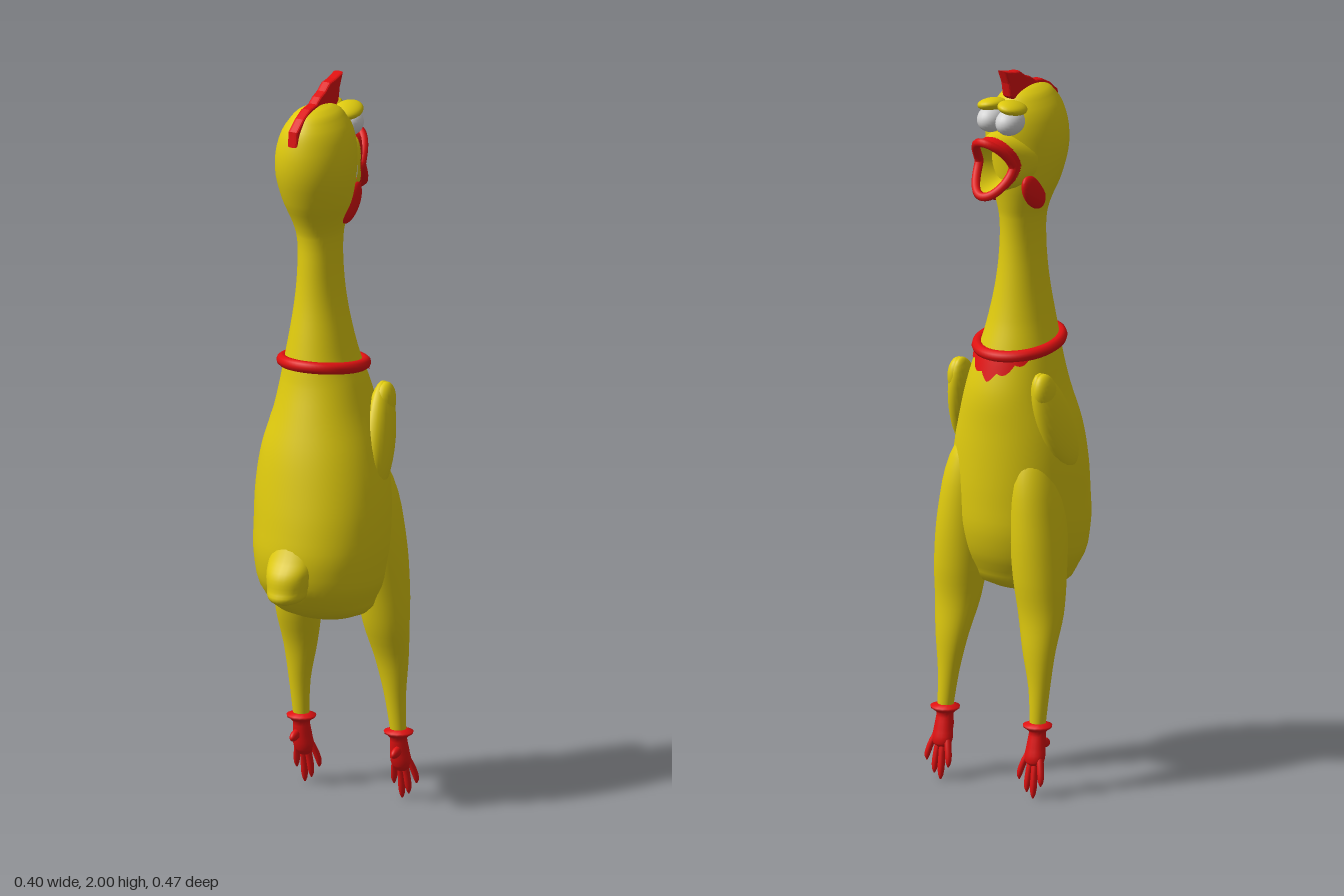
import * as THREE from 'three';

const mat = (name, color) => Object.assign(new THREE.MeshStandardMaterial({ color }), { name });
const V = (x, y, z) => new THREE.Vector3(x, y, z);

// Smooth skin over closed rings of points
function skin(rings) {
  const n = rings[0].length, pos = [], idx = [];
  rings.forEach(r => r.forEach(p => pos.push(p.x, p.y, p.z)));
  for (let i = 0; i < rings.length - 1; i++) for (let j = 0; j < n; j++) {
    const k = (j + 1) % n, a = i * n + j, d = i * n + k;
    idx.push(a, a + n, d, a + n, d + n, d);
  }
  const g = new THREE.BufferGeometry();
  g.setAttribute('position', new THREE.Float32BufferAttribute(pos, 3));
  g.setIndex(idx);
  g.computeVertexNormals();
  return g;
}

// Rows of [y, centre x, centre z, radius x, radius z], rising in y
function sampler(rows) {
  const f = new THREE.CubicInterpolant(rows.map(r => r[0]), rows.flatMap(r => r.slice(1)), 4, new Float32Array(4));
  return (y, a, grow = 0) => {
    const [cx, cz, rx, rz] = f.evaluate(y);
    return V(cx + (Math.max(rx, 0.001) + grow) * Math.cos(a), y, cz + (Math.max(rz, 0.001) + grow) * Math.sin(a));
  };
}
function loft(rows, seg = 32, sub = 4) {
  const at = sampler(rows), rings = [];
  const ring = y => Array.from({ length: seg }, (_, j) => at(y, j / seg * Math.PI * 2));
  for (let i = 0; i < rows.length - 1; i++) for (let k = 0; k < sub; k++)
    rings.push(ring(THREE.MathUtils.lerp(rows[i][0], rows[i + 1][0], k / sub)));
  rings.push(ring(rows.at(-1)[0]));
  return skin(rings);
}

const BODY = [
  [0.525, 0, 0, 0.005, 0.005], [0.54, 0, 0, 0.09, 0.07], [0.6, 0, 0.01, 0.155, 0.14],
  [0.7, 0, 0.008, 0.182, 0.178], [0.8, 0, 0.001, 0.187, 0.179], [0.9, -0.005, -0.008, 0.183, 0.172],
  [1.0, -0.01, -0.018, 0.166, 0.162], [1.1, -0.012, -0.031, 0.136, 0.147], [1.18, -0.016, -0.033, 0.115, 0.127],
  [1.23, -0.02, -0.03, 0.1, 0.115], [1.3, -0.022, -0.027, 0.084, 0.098], [1.4, -0.025, -0.028, 0.066, 0.08],
  [1.5, -0.026, -0.028, 0.057, 0.072], [1.58, -0.028, -0.03, 0.059, 0.074], [1.62, -0.029, -0.028, 0.069, 0.084],
  [1.68, -0.03, -0.02, 0.09, 0.104], [1.77, -0.03, -0.012, 0.105, 0.122], [1.85, -0.03, -0.016, 0.094, 0.122],
  [1.9, -0.03, -0.018, 0.068, 0.1], [1.93, -0.03, -0.018, 0.036, 0.056], [1.94, -0.03, -0.018, 0.004, 0.005]
];

export function createModel() {
  const yellow = mat('yellow skin', 0xdfca0e), red = mat('red trim', 0xe01111), white = mat('eye white', 0xd4d4d4);
  red.side = THREE.DoubleSide;
  const model = new THREE.Group();
  const add = (name, geo, m, parent = model) => {
    const o = new THREE.Mesh(geo, m);
    o.name = name;
    parent.add(o);
    return o;
  };
  const blob = (name, m, p, s, rx = 0, rz = 0, parent = model) => {
    const o = add(name, new THREE.SphereGeometry(1, 24, 16), m, parent);
    o.position.set(...p);
    o.scale.set(...s);
    o.rotation.set(rx, 0, rz);
    return o;
  };

  add('bodyNeckAndHead', loft(BODY, 48), yellow);

  // Tail stub
  add('tail', loft([
    [0.608, -0.005, 0.19, 0.012, 0.015], [0.62, -0.005, 0.185, 0.042, 0.048], [0.65, -0.005, 0.175, 0.056, 0.058],
    [0.69, -0.005, 0.165, 0.064, 0.063], [0.73, -0.005, 0.145, 0.068, 0.055], [0.8, -0.005, 0.12, 0.06, 0.045]
  ], 24), yellow);

  // Wings, legs and feet on both sides
  for (const s of [1, -1]) {
    const side = s > 0 ? 'left' : 'right';
    blob(side + 'Wing', yellow, [s * 0.146 - 0.01, 1.03, -0.065], [0.035, 0.15, 0.06], -0.38, s * 0.13);
    blob(side + 'Shoulder', yellow, [s * 0.138 - 0.01, 1.11, -0.1], [0.027, 0.06, 0.042], -0.3, 0);
    const c = s > 0 ? 0.155 : -0.145;
    add(side + 'Leg', loft([
      [0.19, c, -0.13, 0.021, 0.02], [0.3, s * 0.147, -0.125, 0.03, 0.027], [0.4, s * 0.141, -0.118, 0.047, 0.038],
      [0.5, s * 0.135, -0.1, 0.064, 0.055], [0.6, s * 0.128, -0.095, 0.072, 0.072],
      [0.75, s * 0.116, -0.085, 0.072, 0.086], [0.9, s * 0.1, -0.08, 0.055, 0.072], [0.98, s * 0.09, -0.08, 0.02, 0.03]
    ], 28), yellow);

    const foot = new THREE.Group();
    foot.name = side + 'Foot';
    model.add(foot);
    add('ankle', loft([
      [0.085, c, -0.145, 0.012, 0.01], [0.1, c, -0.145, 0.027, 0.02], [0.14, c, -0.137, 0.027, 0.023],
      [0.18, c, -0.13, 0.023, 0.022], [0.205, c, -0.13, 0.023, 0.022], [0.207, c, -0.13, 0.003, 0.003]
    ], 16), red, foot);
    for (const [dx, tip] of [[-0.033, 0.04], [-0.008, 0.003], [0.012, 0.018], [0.036, 0.05]]) {
      const h = 0.14 - tip;
      add('toe', loft([
        [tip, c + dx, -0.163, 0.002, 0.002], [tip + 0.012, c + dx, -0.162, 0.007, 0.007],
        [tip + h * 0.5, c + dx * 0.8, -0.154, 0.009, 0.01], [0.14, c + dx * 0.3, -0.138, 0.01, 0.01]
      ], 10), red, foot);
    }
    blob('spur', red, [c + s * 0.006, 0.145, -0.108], [0.011, 0.014, 0.024], 0.3, 0, foot);

    // Cheek wattles and eyes
    blob(side + 'Wattle', red, [-0.03 + s * 0.067, 1.66, -0.08], [0.018, 0.062, 0.036], -0.75);
    blob(side + 'Eye', white, [-0.03 + s * 0.03, 1.862, -0.135], [0.036, 0.036, 0.047]);
    blob(side + 'Brow', yellow, [-0.03 + s * 0.032, 1.9, -0.128], [0.036, 0.018, 0.05], 0.15, s * -0.2);
  }

  // Collar with a scalloped drop at the throat
  const at = sampler(BODY), collarY = a => 1.225 - 0.015 * Math.sin(-a);
  const loop = Array.from({ length: 24 }, (_, i) => {
    const a = i / 24 * Math.PI * 2;
    return at(collarY(a), a, 0.004);
  });
  add('collar', new THREE.TubeGeometry(new THREE.CatmullRomCurve3(loop, true), 72, 0.016, 10, true), red);
  const bib = new THREE.PlaneGeometry(1, 1, 40, 5), bp = bib.attributes.position;
  for (let i = 0; i < bp.count; i++) {
    const u = bp.getX(i) * 2, v = 0.5 - bp.getY(i), a = -Math.PI / 2 + u * 0.95;
    const drop = (1 - Math.abs(u)) * 0.055 + 0.014 * Math.abs(Math.cos(u * Math.PI * 2.5));
    const p = at(collarY(a) - v * drop, a, 0.008);
    bp.setXYZ(i, p.x, p.y, p.z);
  }
  bib.computeVertexNormals();
  add('collarBib', bib, red);

  // Comb: a flat crest rising towards the face
  const comb = new THREE.Shape([
    [-0.108, 1.85], [-0.104, 1.892], [-0.07, 1.92], [-0.035, 1.938], [0.0, 1.944], [0.02, 1.958], [0.045, 1.968],
    [0.07, 1.986], [0.1, 1.99], [0.138, 2.0], [0.122, 1.962], [0.115, 1.925], [0.06, 1.88], [-0.06, 1.86]
  ].map(p => new THREE.Vector2(...p)));
  const combGeo = new THREE.ExtrudeGeometry(comb, {
    depth: 0.014, bevelThickness: 0.008, bevelSize: 0.006, bevelOffset: -0.006, bevelSegments: 3
  });
  combGeo.translate(0, 0, -0.007).rotateY(Math.PI / 2).translate(-0.034, 0, 0);
  add('comb', combGeo, red);

  // Open beak: skin from the face out to the lips, lips, and mouth lining
  const N = 40;
  const rim = t => V(-0.03 + 0.055 * Math.cos(t), 1.745 + 0.075 * Math.sin(t), -0.158 - 0.062 * Math.abs(Math.sin(t)) ** 1.4);
  const base = t => V(-0.03 + 0.085 * Math.cos(t), 1.752 + 0.085 * Math.sin(t), -0.085);
  const throat = t => V(-0.03 + 0.035 * Math.cos(t), 1.745 + 0.05 * Math.sin(t), -0.12);
  const ring = f => Array.from({ length: N }, (_, j) => f(j / N * Math.PI * 2));
  const between = (f, g, k) => ring(t => f(t).lerp(g(t), k));
  add('beakBase', skin([0, 0.25, 0.5, 0.68].map(k => between(base, rim, k))), yellow);
  add('beakEdge', skin([0.66, 0.83, 1].map(k => between(base, rim, k))), red);
  add('mouthLining', skin([0, 0.5, 1].map(k => between(rim, throat, k))), yellow);
  add('lips', new THREE.TubeGeometry(new THREE.CatmullRomCurve3(ring(rim), true), 80, 0.012, 8, true), red);

  return model;
}
